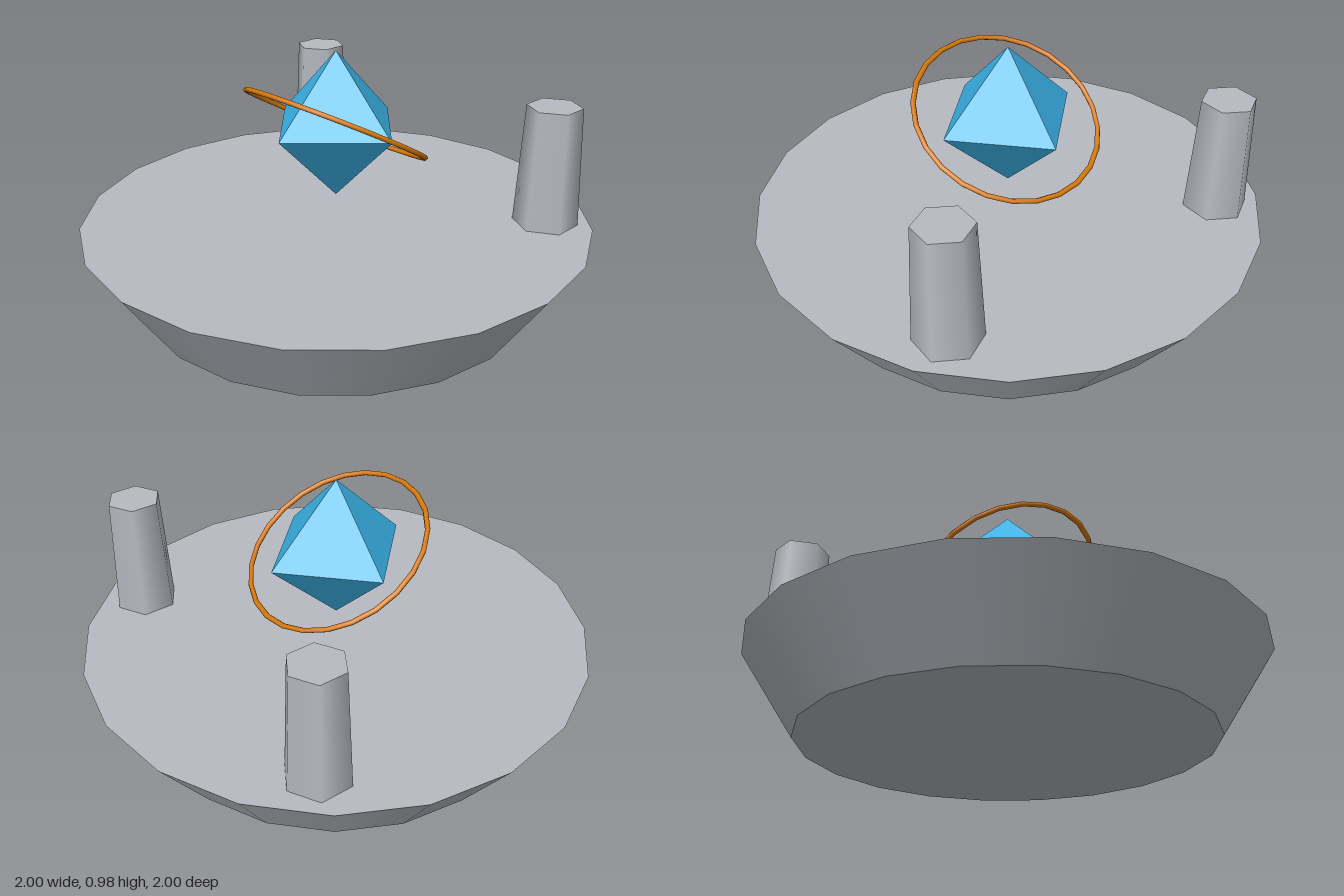
import * as THREE from 'three';

const material = (name, color) => {
  const m = new THREE.MeshStandardMaterial({ color });
  m.name = name;
  return m;
};

export function createModel() {
  const model = new THREE.Group();
  model.name = 'crystalShrine';

  const stone = material('paleStone', 0xb7bac2);
  const blue = material('crystalBlue', 0x3ab3e8);
  const orange = material('ringOrange', 0xd97a0a);

  const add = (name, geometry, mat, x, y, z) => {
    const mesh = new THREE.Mesh(geometry, mat);
    mesh.name = name;
    mesh.position.set(x, y, z);
    model.add(mesh);
    return mesh;
  };

  // Tapered round platform
  const baseHeight = 0.316;
  add('platform', new THREE.CylinderGeometry(1, 0.789, baseHeight, 20), stone, 0, baseHeight / 2, 0);

  // Two hexagonal pillars at the back
  const pillarHeight = 0.474;
  const pillar = new THREE.CylinderGeometry(0.105, 0.126, pillarHeight, 6);
  for (const side of [1, -1]) {
    add(side > 0 ? 'leftPillar' : 'rightPillar', pillar, stone,
      side * 0.632, baseHeight + pillarHeight / 2, -0.526);
  }

  // Floating crystal
  const centreY = 0.69;
  add('crystal', new THREE.OctahedronGeometry(0.293), blue, 0, centreY, 0);

  // Thin ring around the crystal, raised at the front
  const ring = add('ring', new THREE.TorusGeometry(0.3685, 0.0105, 6, 24), orange, 0, centreY, 0);
  ring.rotation.x = Math.PI / 3;

  return model;
}
